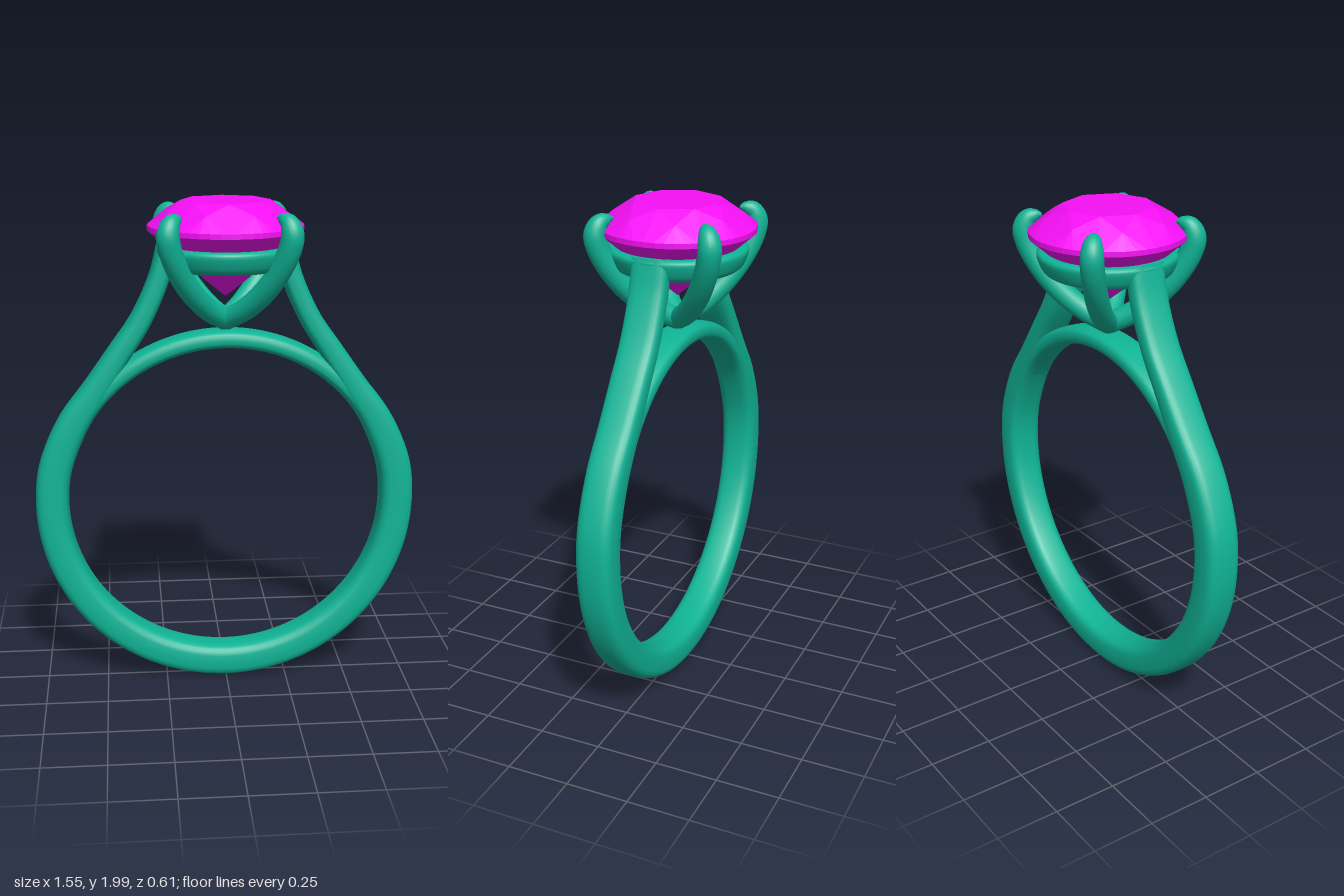
import * as THREE from 'three';
import { ConvexGeometry } from 'three/addons/geometries/ConvexGeometry.js';

const metal = new THREE.MeshStandardMaterial({ color: 0x10b496 });
const stone = new THREE.MeshStandardMaterial({ color: 0xf510f5, flatShading: true });
const CENTRE_Y = 0.78; // centre of the finger hole

// Point on a superellipse; n = 2 is an ellipse, larger n is squarer
function superellipse(a, n) {
  const f = (v) => Math.sign(v) * Math.pow(Math.abs(v), 2 / n);
  return [f(Math.cos(a)), f(Math.sin(a))];
}

// Sweeps a superellipse along a path in the xy plane.
// Each path entry is [x, y, half thickness]; width gives the half width in z.
function sweep(path, steps, width, n, sides = 24) {
  const curve = new THREE.CatmullRomCurve3(path.map((p) => new THREE.Vector3(...p)));
  const pos = [], idx = [], rings = [];
  for (let i = 0; i <= steps; i++) {
    const u = i / steps, p = curve.getPoint(u);
    const t = curve.getTangent(u).setZ(0).normalize();
    const w = width ?? p.z, ring = [];
    for (let j = 0; j < sides; j++) {
      const [c, s] = superellipse((j / sides) * Math.PI * 2, n);
      ring.push([p.x - t.y * c * p.z, p.y + t.x * c * p.z, s * w]);
    }
    rings.push({ ring, centre: [p.x, p.y, 0] });
    pos.push(...ring.flat());
  }
  for (let i = 0; i < steps; i++) {
    for (let j = 0; j < sides; j++) {
      const k = (j + 1) % sides, a = i * sides, b = a + sides;
      idx.push(a + j, a + k, b + j, a + k, b + k, b + j);
    }
  }
  // End caps with their own vertices, so the rim stays crisp
  [rings[0], rings[steps]].forEach(({ ring, centre }, end) => {
    const base = pos.length / 3;
    pos.push(...ring.flat(), ...centre);
    for (let j = 0; j < sides; j++) {
      const k = (j + 1) % sides;
      idx.push(base + sides, base + (end ? j : k), base + (end ? k : j));
    }
  });
  const g = new THREE.BufferGeometry();
  g.setAttribute('position', new THREE.Float32BufferAttribute(pos, 3));
  g.setIndex(idx);
  g.computeVertexNormals();
  return g;
}

function arc(fromDeg, toDeg, stepDeg, r, half) {
  const pts = [], n = Math.round(Math.abs(toDeg - fromDeg) / stepDeg);
  for (let i = 0; i <= n; i++) {
    const a = THREE.MathUtils.degToRad(fromDeg + ((toDeg - fromDeg) * i) / n);
    pts.push([r * Math.cos(a), CENTRE_Y + r * Math.sin(a), half]);
  }
  return pts;
}

function createGem() {
  const pts = [];
  const ring = (count, r, y, turn = 0) => {
    for (let i = 0; i < count; i++) {
      const a = ((i + turn) / count) * Math.PI * 2;
      pts.push(new THREE.Vector3(r * Math.cos(a), y, r * Math.sin(a)));
    }
  };
  ring(8, 0.175, 2.0);         // table
  ring(8, 0.245, 1.959, 0.5);  // crown facets
  ring(48, 0.305, 1.906);      // girdle
  ring(48, 0.305, 1.886);
  ring(8, 0.085, 1.692, 0.5);  // pavilion facets
  pts.push(new THREE.Vector3(0, 1.625, 0));
  return new ConvexGeometry(pts);
}

export function createModel() {
  const model = new THREE.Group();
  model.name = 'ring';
  const add = (name, geometry, material = metal) => {
    const mesh = new THREE.Mesh(geometry, material);
    mesh.name = name;
    model.add(mesh);
    return mesh;
  };

  // Shank: round below, rising in tapered shoulders to the head
  const shoulder = [
    [0.232, 1.825, 0.038],
    [0.262, 1.7, 0.041],
    [0.336, 1.535, 0.043],
    [0.425, 1.4, 0.047],
    [0.522, 1.252, 0.054],
    [0.62, 1.105, 0.063],
  ];
  const left = shoulder.map(([x, y, h]) => [-x, y, h]).reverse();
  add('shank', sweep([...shoulder, ...arc(12, -192, 12, 0.707, 0.0675), ...left], 160, 0.075, 3.2));

  // Bridge closing the finger hole under the head
  add('bridge', sweep(arc(32, 148, 8, 0.678, 0.0375), 48, 0.07, 2.8));

  // Gallery ring under the stone, leaning slightly outward
  const profile = [];
  for (let i = 0; i <= 24; i++) {
    const [c, s] = superellipse(Math.PI + (i / 24) * Math.PI * 2, 3);
    profile.push(new THREE.Vector2(0.228 + 0.04 * c + 0.017 * s, 1.785 + 0.046 * s));
  }
  add('galleryRing', new THREE.LatheGeometry(profile, 64));

  // Four claws, rising from the bridge and folding over the stone
  const claw = sweep([
    [0.0, 1.53, 0.042],
    [0.1, 1.583, 0.044],
    [0.195, 1.66, 0.045],
    [0.27, 1.75, 0.045],
    [0.318, 1.84, 0.045],
    [0.328, 1.895, 0.044],
    [0.31, 1.934, 0.036],
    [0.28, 1.948, 0.022],
    [0.258, 1.95, 0.006],
  ], 56, null, 2, 20);
  for (let i = 0; i < 4; i++) {
    add('claw', claw).rotation.y = Math.PI / 4 + (i * Math.PI) / 2;
  }

  add('gem', createGem(), stone);
  return model;
}
